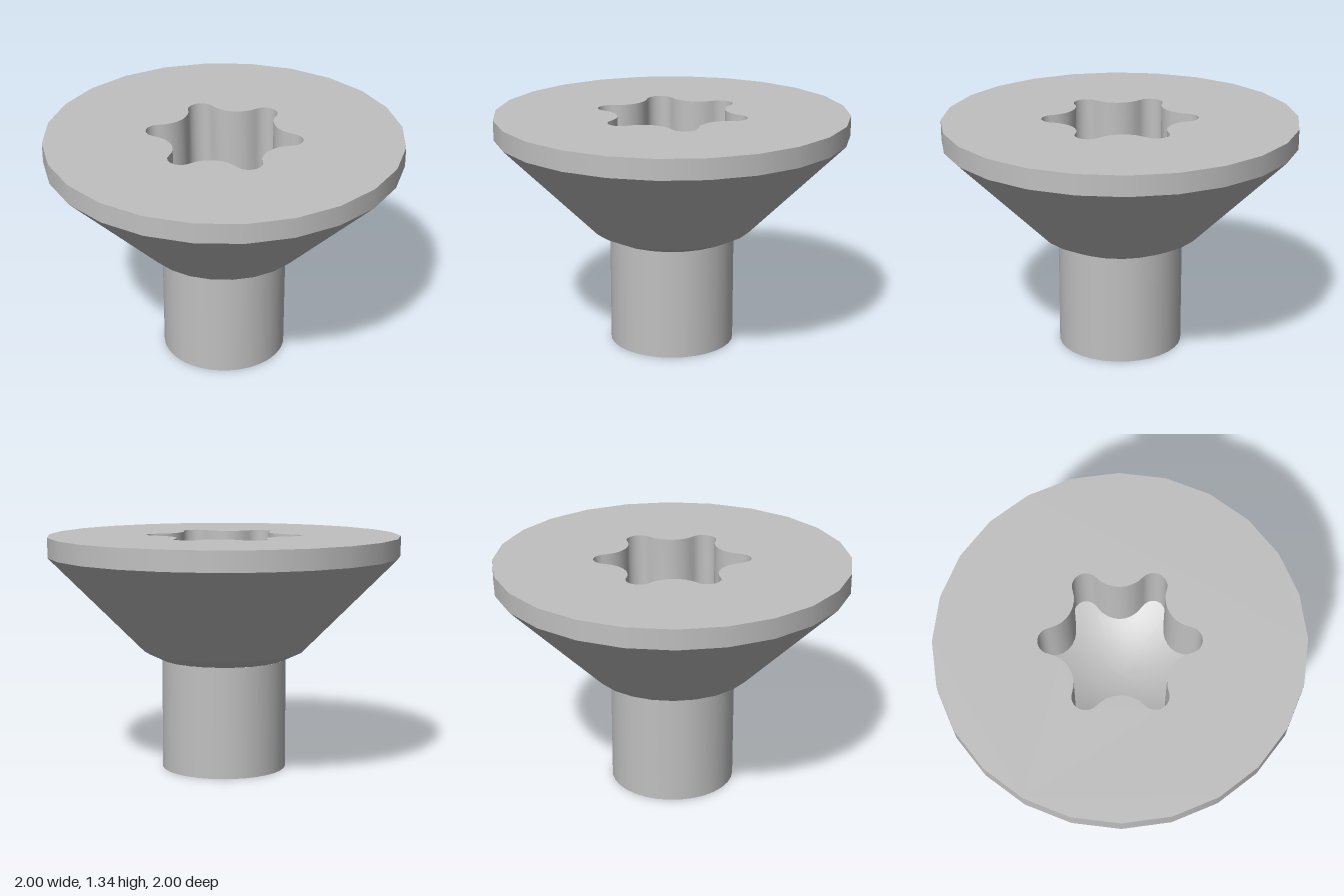
import * as THREE from 'three';

const TOP = 1.335;      // height of the head's top face
const FLOOR = 0.96;     // socket floor height at the lobe tips
const DISH = 0.15;      // extra depth at the middle of the floor
const TIP = 0.44, VALLEY = 0.31;

// Six-lobed socket outline: convex lobe arcs joined tangentially to valley arcs
function socketOutline() {
  const lobeR = 0.075, valleyR = 0.171;
  const lobeC = TIP - lobeR, valleyC = VALLEY + valleyR;
  const lobeHalf = 77.9 * Math.PI / 180, valleyHalf = 47.9 * Math.PI / 180;
  const pts = [];
  const add = (dist, dir, r, a) => pts.push(new THREE.Vector2(
    dist * Math.cos(dir) + r * Math.cos(a), dist * Math.sin(dir) + r * Math.sin(a)));
  for (let k = 0; k < 6; k++) {
    const dir = k * Math.PI / 3, mid = dir + Math.PI / 6;
    for (let i = 0; i <= 12; i++) add(lobeC, dir, lobeR, dir + lobeHalf * (i / 6 - 1));
    for (let i = 1; i < 8; i++) add(valleyC, mid, valleyR, mid + Math.PI + valleyHalf * (1 - i / 4));
  }
  return pts;
}

// Skin over closed rings of points, running anticlockwise seen from above
function skin(rings) {
  const n = rings[0].length, pos = [], index = [];
  rings.forEach(ring => ring.forEach(p => pos.push(p.x, p.y, p.z)));
  for (let j = 0; j < rings.length - 1; j++) {
    for (let i = 0; i < n; i++) {
      const a = j * n + i, b = j * n + (i + 1) % n;
      index.push(a, a + n, b + n, a, b + n, b);
    }
  }
  const geo = new THREE.BufferGeometry();
  geo.setAttribute('position', new THREE.Float32BufferAttribute(pos, 3));
  geo.setIndex(index);
  geo.computeVertexNormals();
  return geo;
}

export function createModel() {
  const steel = new THREE.MeshStandardMaterial({ color: 0xc0c0c0 });
  const model = new THREE.Group();
  model.name = 'countersunkScrew';
  const add = (name, geo) => {
    const mesh = new THREE.Mesh(geo, steel);
    mesh.name = name;
    model.add(mesh);
    return mesh;
  };

  // Turned bands, each with its own normals so the edges between stay sharp
  const band = (name, r0, y0, r1, y1, sides) =>
    add(name, new THREE.CylinderGeometry(r1, r0, y1 - y0, sides, 1, true)).position.y = (y0 + y1) / 2;
  band('shank', 0.355, 0, 0.355, 0.63, 32);
  band('headCollar', 0.355, 0.63, 0.46, 0.68, 24);
  band('headCone', 0.46, 0.68, 1, 1.222, 24);
  band('headRim', 1, 1.222, 1, TOP, 24);

  // Flat end of the shank
  add('shankEnd', new THREE.CircleGeometry(0.355, 32).rotateX(Math.PI / 2));

  // Top face with the socket cut out
  const outline = socketOutline();
  const disc = new THREE.Shape();
  for (let i = 0; i < 24; i++) {
    const a = i * Math.PI / 12;
    disc[i ? 'lineTo' : 'moveTo'](Math.cos(a), Math.sin(a));
  }
  disc.closePath();
  disc.holes.push(new THREE.Path(outline));
  add('headTop', new THREE.ShapeGeometry(disc).rotateX(-Math.PI / 2)).position.y = TOP;

  // Socket walls and dished floor
  const floorY = r => FLOOR - DISH * (1 - (r / TIP) ** 2);
  const ring = (scale, height) => outline.map(p =>
    new THREE.Vector3(p.x * scale, height ?? floorY(p.length() * scale), -p.y * scale));
  add('socketWall', skin([ring(1), ring(1, TOP)]));
  add('socketFloor', skin([0, 0.1, 0.25, 0.4, 0.55, 0.7, 0.85, 1].map(s => ring(s))));

  return model;
}
